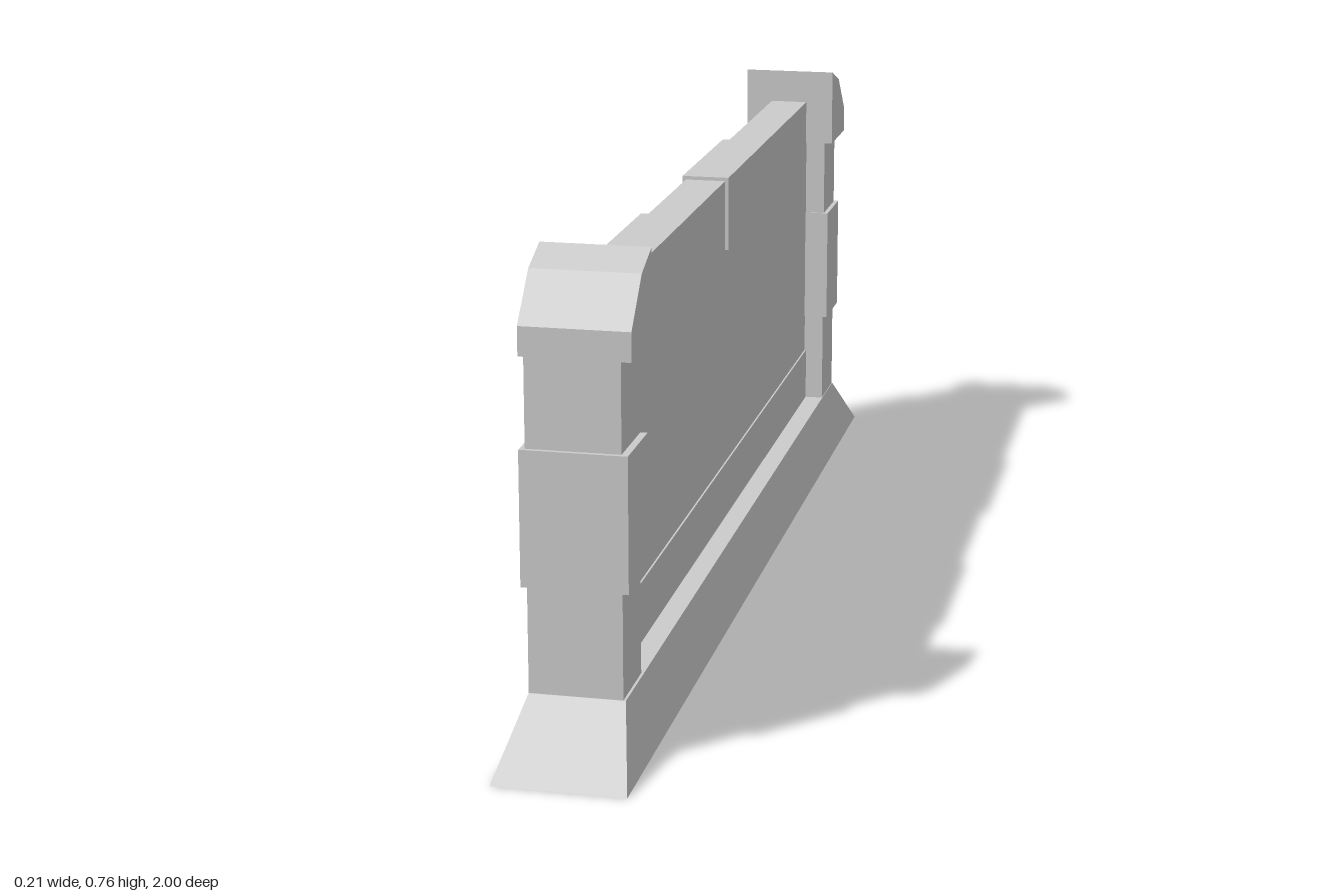
import * as THREE from 'three';

const material = new THREE.MeshStandardMaterial({ color: 0xcccccc, flatShading: true });

function add(parent, name, geometry) {
  const mesh = new THREE.Mesh(geometry, material);
  mesh.name = name;
  parent.add(mesh);
  return mesh;
}

// Box given by its limits on each axis
function block(parent, name, [x0, x1], [y0, y1], [z0, z1]) {
  const g = new THREE.BoxGeometry(x1 - x0, y1 - y0, z1 - z0);
  g.translate((x0 + x1) / 2, (y0 + y1) / 2, (z0 + z1) / 2);
  return add(parent, name, g);
}

// Cap: side profile (z, y) extruded across x
function capGeometry(side, outer, bend) {
  const profile = [[0.767, 0.62], [outer, 0.62], [outer, 0.665], [bend, 0.735], [0.767, 0.76]];
  const shape = new THREE.Shape(profile.map(([z, y]) => new THREE.Vector2(-z * side, y)));
  const g = new THREE.ExtrudeGeometry(shape, { depth: 0.168, bevelEnabled: false });
  g.rotateY(Math.PI / 2);
  g.translate(-0.08, 0, 0);
  return g;
}

export function createModel() {
  const group = new THREE.Group();

  // Sloped base: a box whose top corners are drawn inward
  const base = new THREE.BoxGeometry(0.206, 0.103, 2);
  base.translate(0, 0.0515, 0);
  const p = base.attributes.position;
  for (let i = 0; i < p.count; i++) {
    if (p.getY(i) > 0.05) {
      p.setX(i, Math.sign(p.getX(i)) * 0.074);
      p.setZ(i, Math.sign(p.getZ(i)) * 0.886);
    }
  }
  base.computeVertexNormals();
  add(group, 'base', base);

  // Wall with a low plinth and two coping blocks
  block(group, 'wall', [-0.031, 0.037], [0.1, 0.7], [-0.775, 0.775]);
  block(group, 'plinth', [-0.042, 0.04], [0.1, 0.2], [-0.775, 0.775]);
  for (const z of [[0.31, 0.62], [-0.33, 0.005]]) {
    block(group, 'copingBlock', [-0.037, 0.043], [0.58, 0.706], z);
  }

  // End pillars with a thicker middle band and a sloped cap
  for (const side of [1, -1]) {
    const pillar = new THREE.Group();
    pillar.name = side > 0 ? 'frontPillar' : 'backPillar';
    const span = (a, b) => (side > 0 ? [a, b] : [-b, -a]);
    block(pillar, 'shaft', [-0.074, side > 0 ? 0.07 : 0.073], [0.1, 0.63], span(0.772, 0.885));
    block(pillar, 'band', [-0.082, 0.081], [0.27, 0.48], span(0.769, 0.892));
    add(pillar, 'cap', side > 0 ? capGeometry(1, 0.894, 0.829) : capGeometry(-1, 0.909, 0.84));
    group.add(pillar);
  }
  return group;
}
